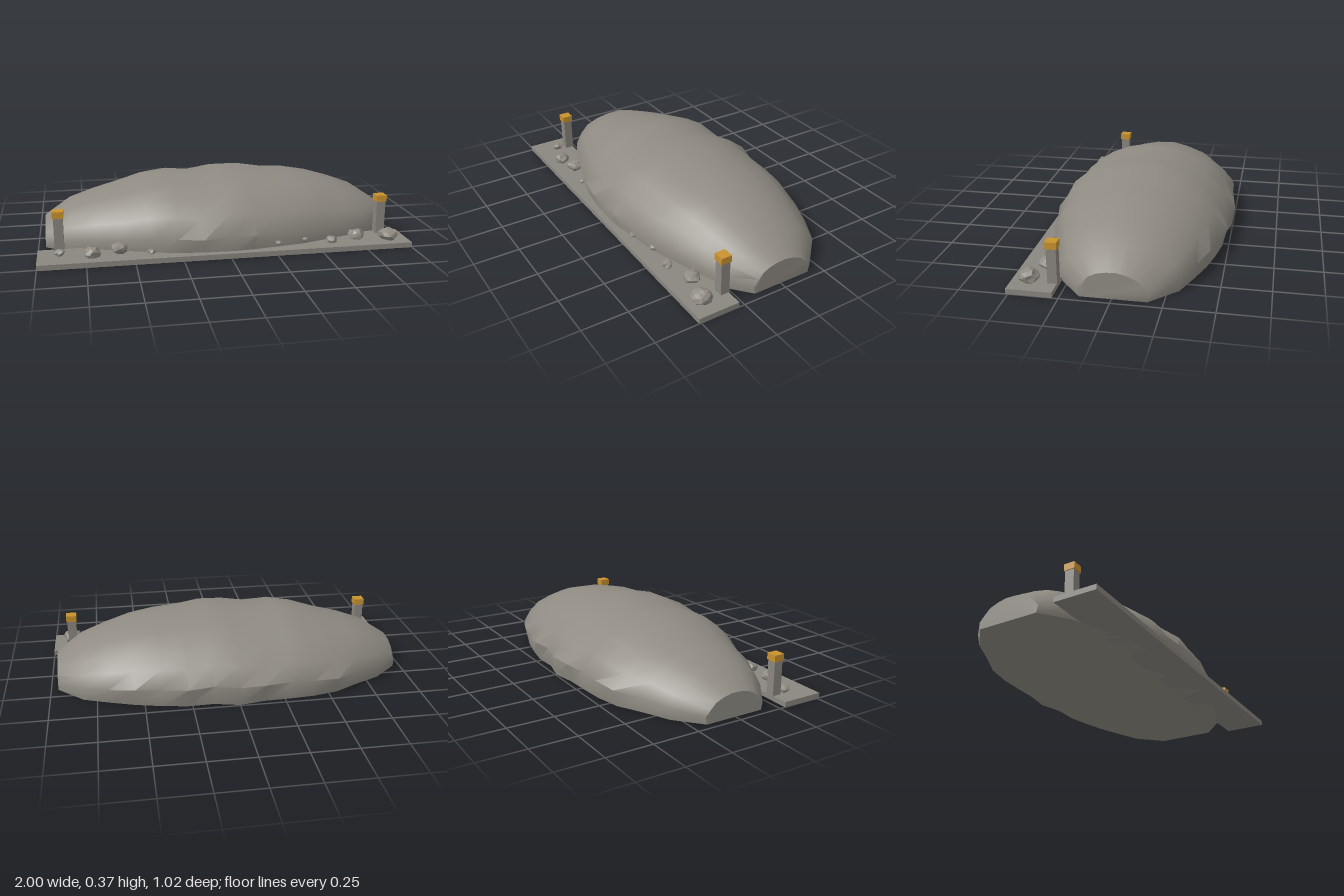
import * as THREE from 'three';
import { toCreasedNormals, mergeVertices } from 'three/addons/utils/BufferGeometryUtils.js';

const material = (name, color) => {
  const m = new THREE.MeshStandardMaterial({ color });
  m.name = name;
  return m;
};

// Stations along x: top height, front depth and back depth
const HEIGHT = [0.13, 0.22, 0.265, 0.295, 0.34, 0.36, 0.345, 0.37, 0.372, 0.35, 0.343, 0.32, 0.28, 0.23, 0.14];
const FRONT = [0.165, 0.27, 0.33, 0.38, 0.43, 0.465, 0.485, 0.49, 0.48, 0.46, 0.435, 0.39, 0.345, 0.29, 0.165];
const BACK = [0.18, 0.305, 0.37, 0.445, 0.475, 0.485, 0.49, 0.515, 0.48, 0.485, 0.46, 0.425, 0.375, 0.32, 0.18];

// Half-domed section running from the front base over the top to the back base
const SECTION = [
  [0.96, 0], [1, 0.29], [0.86, 0.57], [0.68, 0.78], [0.43, 0.92], [0.14, 0.99],
  [-0.15, 1], [-0.42, 0.91], [-0.67, 0.77], [-0.86, 0.55], [-1, 0.3], [-0.96, 0],
];

function moundGeometry() {
  const n = HEIGHT.length, m = SECTION.length;
  const positions = [], index = [];
  for (let i = 0; i < n; i++) {
    SECTION.forEach(([u, v], j) => {
      // Slight lumps on the flanks
      const lump = 1 + 0.016 * Math.sin(i * 2.3 + j * 1.9) * Math.sin(Math.PI * v);
      positions.push(
        -0.96 + (1.92 * i) / (n - 1),
        HEIGHT[i] * v * lump,
        u * (u > 0 ? FRONT[i] : BACK[i]) * lump,
      );
    });
  }
  // Skin, including the flat underside
  for (let i = 0; i < n - 1; i++) {
    for (let j = 0; j < m; j++) {
      const k = (j + 1) % m;
      const a = i * m + j, b = a + m, c = (i + 1) * m + k, d = i * m + k;
      index.push(a, b, c, a, c, d);
    }
  }
  // Flat ends
  const last = (n - 1) * m;
  for (let j = 1; j < m - 1; j++) {
    index.push(0, j, j + 1, last, last + j + 1, last + j);
  }
  const g = new THREE.BufferGeometry();
  g.setAttribute('position', new THREE.Float32BufferAttribute(positions, 3));
  g.setIndex(index);
  return toCreasedNormals(g, 0.85);
}

// Faceted stone with a seeded uneven outline
function rockGeometry(radius, seed) {
  let g = new THREE.IcosahedronGeometry(1, 1);
  g.deleteAttribute('normal');
  g.deleteAttribute('uv');
  g = mergeVertices(g);
  const p = g.attributes.position;
  for (let i = 0; i < p.count; i++) {
    const h = Math.sin(i * 12.99 + seed * 78.23) * 43758.55;
    const r = radius * (0.78 + 0.34 * (h - Math.floor(h)));
    p.setXYZ(i, p.getX(i) * r, p.getY(i) * r * 0.75, p.getZ(i) * r);
  }
  g = g.toNonIndexed();
  g.computeVertexNormals();
  return g;
}

export function createModel() {
  const model = new THREE.Group();
  model.name = 'stoneMound';
  const stone = material('stone', 0x8f8b83);
  const slabStone = material('slabStone', 0x8a8680);
  const amber = material('amber', 0xc8922e);

  const add = (parent, name, geometry, mat, x = 0, y = 0, z = 0) => {
    const mesh = new THREE.Mesh(geometry, mat);
    mesh.name = name;
    mesh.position.set(x, y, z);
    parent.add(mesh);
    return mesh;
  };

  add(model, 'mound', moundGeometry(), stone);
  add(model, 'frontSlab', new THREE.BoxGeometry(2, 0.028, 0.23), slabStone, 0, 0.014, 0.397);

  // Marker posts with coloured caps
  for (const side of [-1, 1]) {
    const post = new THREE.Group();
    post.name = side > 0 ? 'leftPost' : 'rightPost';
    post.position.set(side * 0.885, 0, 0.304);
    add(post, 'shaft', new THREE.BoxGeometry(0.05, 0.19, 0.05), slabStone, 0, 0.118, 0);
    add(post, 'cap', new THREE.BoxGeometry(0.059, 0.036, 0.059), amber, 0, 0.23, 0);
    model.add(post);
  }

  // Loose stones along the slab: x, y, z, radius
  const rocks = new THREE.Group();
  rocks.name = 'looseStones';
  [
    [-0.885, 0.042, 0.375, 0.03], [-0.72, 0.046, 0.42, 0.045], [-0.575, 0.054, 0.4, 0.044],
    [-0.41, 0.034, 0.425, 0.022], [0.265, 0.052, 0.455, 0.018], [0.42, 0.05, 0.42, 0.02],
    [0.57, 0.04, 0.425, 0.03], [0.73, 0.046, 0.38, 0.046], [0.89, 0.054, 0.425, 0.053],
  ].forEach(([x, y, z, r], i) => {
    add(rocks, `stone${i + 1}`, rockGeometry(r, i + 1), stone, x, y, z).rotation.y = i * 1.3;
  });
  model.add(rocks);
  return model;
}
